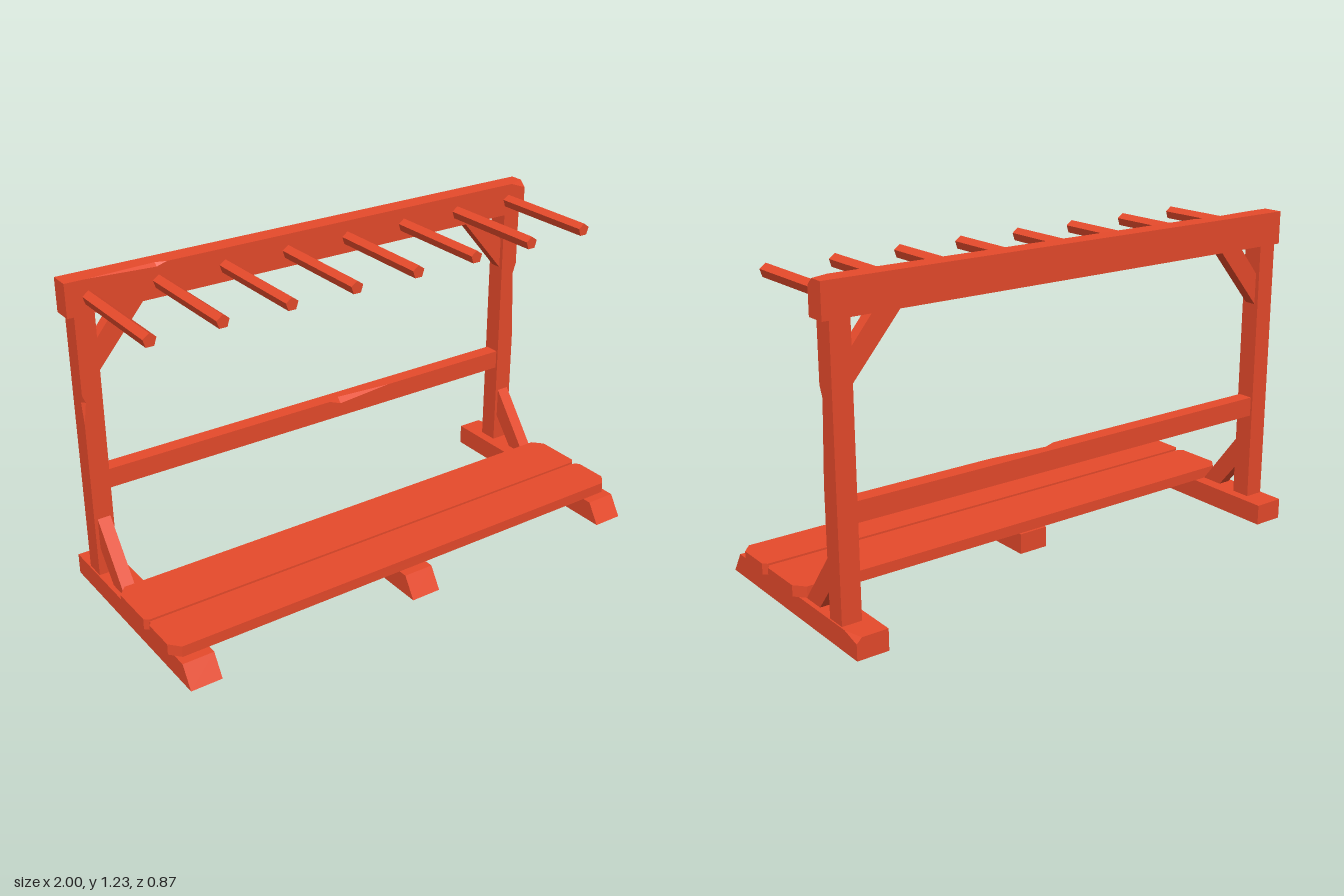
import * as THREE from 'three';
import { ConvexGeometry } from 'three/addons/geometries/ConvexGeometry.js';

const material = new THREE.MeshStandardMaterial({ color: 0xe64a2b, flatShading: true });

export function createModel() {
  const group = new THREE.Group();

  const add = (name, geometry, x = 0, y = 0, z = 0) => {
    const mesh = new THREE.Mesh(geometry, material);
    mesh.name = name;
    mesh.position.set(x, y, z);
    group.add(mesh);
    return mesh;
  };

  const hull = (points) => new ConvexGeometry(points.map((p) => new THREE.Vector3(...p)));

  // Convex [z, y] profile stretched from x0 to x1
  const prismX = (x0, x1, profile) =>
    hull(profile.flatMap(([z, y]) => [[x0, y, z], [x1, y, z]]));

  // Bar along x whose top front edge is worn away; stations are [x, depthY, depthZ]
  const wornBar = (height, depth, stations) => {
    const h = height / 2, d = depth / 2;
    const rings = stations.map(([x, cy, cz]) =>
      [[x, -h, -d], [x, h, -d], [x, h, d - cz], [x, h - cy, d], [x, -h, d]]);
    const positions = [];
    const tri = (a, b, c) => positions.push(...a, ...b, ...c);
    for (let i = 0; i < rings.length - 1; i++) {
      for (let j = 0; j < 5; j++) {
        const k = (j + 1) % 5, a = rings[i], b = rings[i + 1];
        tri(a[j], a[k], b[k]);
        tri(a[j], b[k], b[j]);
      }
    }
    const first = rings[0], last = rings[rings.length - 1];
    for (let j = 1; j < 4; j++) {
      tri(first[0], first[j + 1], first[j]);
      tri(last[0], last[j], last[j + 1]);
    }
    const geometry = new THREE.BufferGeometry();
    geometry.setAttribute('position', new THREE.Float32BufferAttribute(positions, 3));
    geometry.computeVertexNormals();
    return geometry;
  };

  // Feet with sloped fronts; the left one has a chipped rear corner
  const foot = (back) => [[0.435, 0], [0.385, 0.08], [back, 0.08], [back, 0]];
  add('rightFoot', prismX(-0.98, -0.86, foot(-0.435)));
  add('middleFoot', prismX(-0.06, 0.06, foot(-0.09)));
  add('leftFoot', hull([
    [0.86, 0, 0.435], [0.98, 0, 0.435], [0.86, 0.08, 0.385], [0.98, 0.08, 0.385],
    [0.86, 0, -0.435], [0.98, 0, -0.435], [0.86, 0.08, -0.435],
    [0.98, 0.08, -0.36], [0.98, 0.06, -0.435], [0.96, 0.08, -0.435],
  ]));

  // Platform planks with clipped corners and a shallow groove between them
  const plank = (name, zOuter, zInner) => {
    const s = Math.sign(zInner - zOuter);
    const outline = [
      [0.96, zOuter], [0.995, zOuter + s * 0.04],
      [0.995, zInner - s * 0.015], [0.98, zInner],
    ];
    add(name, hull(outline.flatMap(([x, z]) =>
      [-x, x].flatMap((px) => [[px, 0.08, z], [px, 0.122, z]]))));
  };
  plank('frontPlank', 0.35, 0.165);
  plank('backPlank', -0.08, 0.15);
  add('plankGroove', new THREE.BoxGeometry(1.96, 0.026, 0.03), 0, 0.101, 0.157);

  // Posts with worn outer front edges
  const leftPost = wornBar(0.075, 0.077, [
    [-0.51, 0, 0], [-0.29, 0, 0], [-0.25, 0.014, 0.016], [0.04, 0, 0], [0.51, 0, 0],
  ]);
  add('leftPost', leftPost, 0.9375, 0.59, -0.2975).rotation.z = -Math.PI / 2;
  const rightPost = wornBar(0.075, 0.077, [
    [-0.51, 0, 0], [0.11, 0, 0], [0.19, 0.012, 0.014], [0.22, 0, 0], [0.51, 0, 0],
  ]);
  add('rightPost', rightPost, -0.9375, 0.59, -0.2975).rotation.z = Math.PI / 2;

  // Cross beams
  add('topBeam', wornBar(0.125, 0.078, [
    [-1, 0, 0], [-0.92, 0, 0], [-0.66, 0.012, 0.014], [-0.62, 0, 0],
    [0.93, 0, 0], [1, 0.025, 0.025],
  ]), 0, 1.1625, -0.2975);
  add('middleRail', wornBar(0.075, 0.06, [
    [-0.91, 0, 0], [0.05, 0, 0], [0.1, 0.02, 0.02], [0.33, 0, 0], [0.91, 0, 0],
  ]), 0, 0.4575, -0.2975);

  // Diagonal braces, mirrored on both sides
  for (const [side, s] of [['left', 1], ['right', -1]]) {
    add(`${side}FootBrace`, prismX(s * 0.912, s * 0.962,
      [[-0.08, 0.08], [-0.17, 0.08], [-0.262, 0.195], [-0.262, 0.317]]));
    const corner = [[0.705, 1.102], [0.81, 1.102], [0.902, 0.99], [0.902, 0.87]];
    add(`${side}TopBrace`, hull(corner.flatMap(([x, y]) =>
      [[s * x, y, -0.32], [s * x, y, -0.275]])));
  }

  // Row of five-sided pegs
  const pegGeometry = new THREE.CylinderGeometry(0.0255, 0.0255, 0.46, 5);
  pegGeometry.rotateX(Math.PI / 2);
  pegGeometry.rotateZ(Math.PI);
  // Turn one corner of the section upward
  const p = pegGeometry.attributes.position;
  let top = -1;
  for (let i = 0; i < p.count; i++) top = Math.max(top, p.getY(i));
  if (top < 0.025) pegGeometry.rotateZ(Math.PI);
  for (let i = 0; i < 8; i++) {
    add(`peg${i + 1}`, pegGeometry, -0.915 + i * 0.2614, 1.158, -0.05);
  }

  return group;
}
